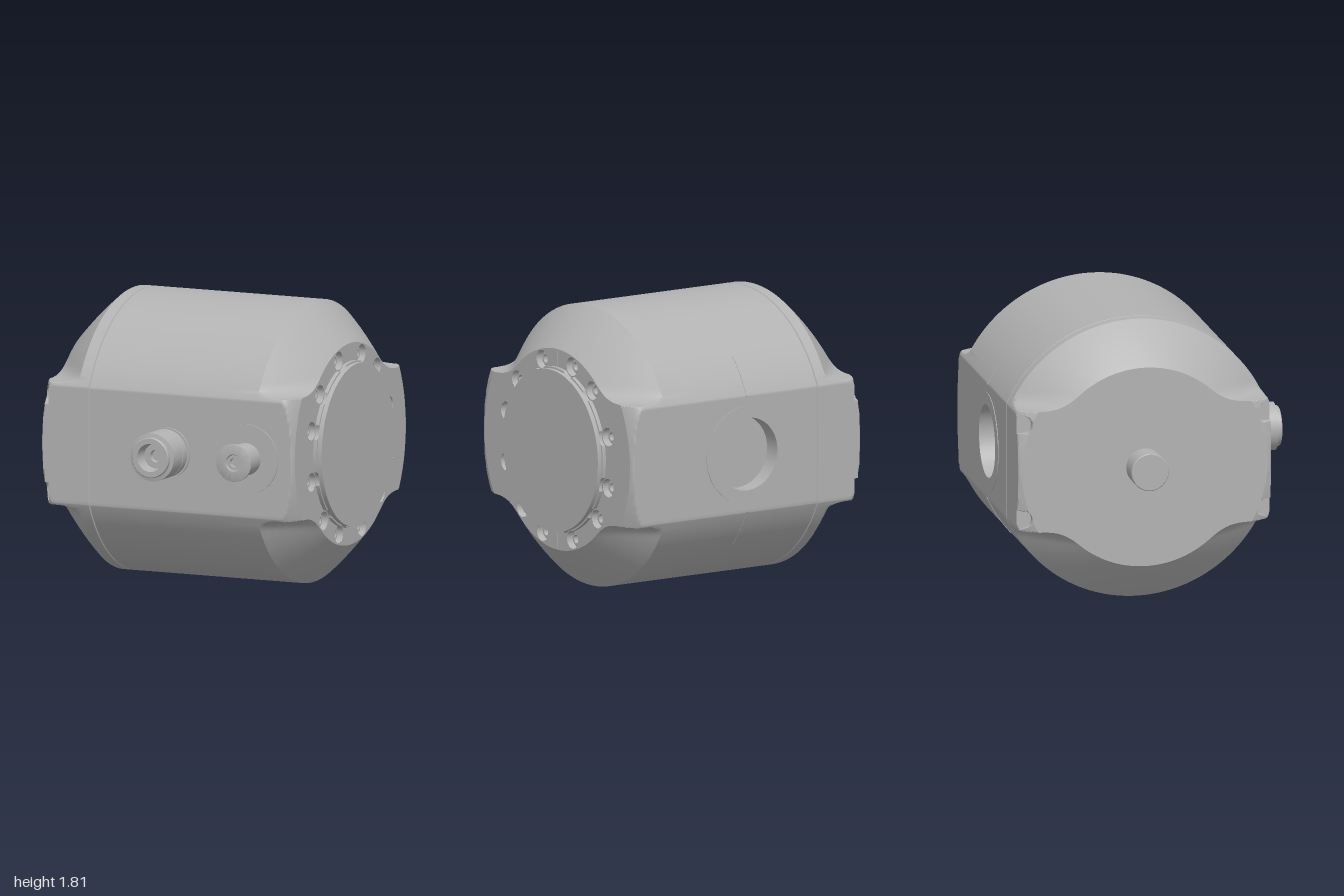
import * as THREE from 'three';
import { toCreasedNormals } from 'three/addons/utils/BufferGeometryUtils.js';

const CY = 0.907, CZ = -0.125;          // main axis, parallel to x
const R = 0.907, FLAT = 0.825, BAND = 0.395;
const X0 = -0.845, X1 = 0.945, N = 720;
const PORT_X = 0.05, PATCH = 45;        // back opening: x centre, half width in angle steps
const PATCH_X = [PORT_X - 0.34, PORT_X + 0.34];
const BOLT_R = 0.583, POCKET_R = 0.06;
const rad = Math.PI / 180;

const boltAngles = [];
for (let k = 0; k < 4; k++) for (const a of [16.2, 41, 73.3]) boltAngles.push((90 * k + a) * rad);

// first distance along a ray at angle t that meets a circle centred at (cr, ca)
function rayHit(t, cr, ca, r) {
  const b = cr * Math.cos(t - ca), h = cr * Math.sin(t - ca);
  return b > 0 && Math.abs(h) < r ? b - Math.sqrt(r * r - h * h) : Infinity;
}

// body radius at angle t (from +z towards +y) and position x
function bodyRadius(t, x, notch, shrink) {
  const left = x < 0, d = left ? x - X0 : X1 - x;
  const s = Math.min(1, d / (left ? 0.265 : 0.255));
  const cone = 0.65 + 0.257 * (s + 0.15 * s * (1 - s));
  const band = BAND / Math.max(1e-4, Math.abs(Math.sin(t)));
  const k = 0.14, h = Math.max(k - Math.abs(cone - band), 0) / k;
  const blended = Math.max(cone, band) + h * h * k / 4;
  const rim = R - 0.107 * Math.max(0, 1 - d / 0.085) ** 2;
  let r = Math.min(blended, rim, FLAT / Math.max(1e-4, Math.abs(Math.cos(t))));
  if (s >= 1) r = Math.min(R, FLAT / Math.max(1e-4, Math.abs(Math.cos(t))));
  if (notch) for (const a of [21.4, 158.6, 201.4, 338.6]) r = Math.min(r, rayHit(t, 0.849, a * rad, 0.058));
  return r - shrink;
}

function bodyGeometry() {
  const ends = [0, 0.008, 0.018, 0.03, 0.042, 0.055, 0.07, 0.085, 0.11, 0.14, 0.18, 0.22];
  const stations = [];
  for (const d of ends) {
    stations.push([X0 + d, d <= 0.055, 0]);
    if (d === 0.055) stations.push([X0 + d, false, 0]);
  }
  stations.push([-0.58, false, 0], [-0.505, false, 0], [-0.5, false, 0.01], [-0.495, false, 0]);
  for (const x of PATCH_X) stations.push([x, false, 0]);
  stations.push([0.69, false, 0]);
  for (const d of [...ends].reverse()) stations.push([X1 - d, false, 0]);
  const pos = [], idx = [];
  for (const [x, notch, shrink] of stations) for (let i = 0; i < N; i++) {
    const t = i / N * 2 * Math.PI, r = bodyRadius(t, x, notch, shrink);
    pos.push(x, CY + r * Math.sin(t), CZ + r * Math.cos(t));
  }
  for (let j = 0; j < stations.length - 1; j++) for (let i = 0; i < N; i++) {
    if (stations[j][0] === PATCH_X[0] && i >= N / 2 - PATCH && i < N / 2 + PATCH) continue;
    const n = (i + 1) % N, a = j * N + i, b = a + N, c = (j + 1) * N + n, d = j * N + n;
    idx.push(a, b, c, a, c, d);
  }
  const g = new THREE.BufferGeometry();
  g.setAttribute('position', new THREE.Float32BufferAttribute(pos, 3));
  g.setIndex(idx);
  return toCreasedNormals(g, 0.45);
}

// closed outline from a polar radius function; side mirrors it for the +x end
function polarShape(radius, side) {
  const pts = [];
  for (let i = 0; i < N; i++) {
    const t = i / N * 2 * Math.PI, r = radius(t);
    pts.push(new THREE.Vector2(-side * r * Math.cos(t), r * Math.sin(t)));
  }
  return new THREE.Shape(pts);
}

const circle = (x, y, r) => new THREE.Path().absarc(x, y, r, 0, 2 * Math.PI, true);

function lathe(points, segments = 48) {
  return toCreasedNormals(new THREE.LatheGeometry(points.map(p => new THREE.Vector2(...p)), segments), 0.5);
}

export function createModel() {
  const model = new THREE.Group();
  const metal = new THREE.MeshStandardMaterial({ color: 0xb2b2b2 });
  metal.name = 'grey metal';
  const inner = new THREE.MeshStandardMaterial({ color: 0xb2b2b2, side: THREE.DoubleSide });
  inner.name = 'grey metal inside';
  const add = (name, geometry, x, y, z, material = metal) => {
    const m = new THREE.Mesh(geometry, material);
    m.name = name;
    m.position.set(x, y, z);
    model.add(m);
    return m;
  };

  // housing shell and its two end faces
  add('housing', bodyGeometry(), 0, 0, 0);
  const rightEnd = polarShape(t => bodyRadius(t, X1, false, 0), 1);
  for (const a of boltAngles) rightEnd.holes.push(circle(-BOLT_R * Math.cos(a), BOLT_R * Math.sin(a), POCKET_R));
  add('rightEndFace', new THREE.ShapeGeometry(rightEnd, 20).rotateY(Math.PI / 2), X1, CY, CZ);
  const leftEnd = polarShape(t => bodyRadius(t, X0, true, 0), -1);
  add('leftEndFace', new THREE.ShapeGeometry(leftEnd).rotateY(-Math.PI / 2), X0, CY, CZ);

  // sunk socket screws around the right end
  const screw = lathe([[0.048, -0.1], [0.048, -0.008], [0.04, 0], [0.026, 0], [0.026, -0.03], [0, -0.03]], 24).rotateZ(-Math.PI / 2);
  const wall = new THREE.CylinderGeometry(POCKET_R, POCKET_R, 0.12, 24, 1, true).rotateZ(Math.PI / 2);
  const floor = new THREE.CircleGeometry(POCKET_R, 24).rotateY(Math.PI / 2);
  for (const a of boltAngles) {
    const y = CY + BOLT_R * Math.sin(a), z = CZ + BOLT_R * Math.cos(a);
    add('screwPocket', wall, X1 - 0.06, y, z, inner);
    add('screwPocketFloor', floor, X1 - 0.12, y, z);
    add('socketScrew', screw, X1 - 0.03, y, z);
  }

  // round cover: scalloped base under a full disc
  const scallop = polarShape(t => Math.min(0.535, ...boltAngles.map(a => rayHit(t, BOLT_R, a, POCKET_R + 0.008))), 1);
  add('coverBase', new THREE.ExtrudeGeometry(scallop, { depth: 0.025, bevelEnabled: false }).rotateY(Math.PI / 2), X1, CY, CZ);
  add('coverDisc', new THREE.CylinderGeometry(0.524, 0.524, 0.03, 96).rotateZ(Math.PI / 2), 0.985, CY, CZ);
  for (const s of [1, -1]) add('endMark', new THREE.BoxGeometry(0.006, 0.1, 0.012), X1, CY + s * 0.59, CZ);

  // shaft on the left end
  add('shaft', lathe([[0.122, 0], [0.122, 0.15], [0.117, 0.155], [0, 0.155]]).rotateZ(Math.PI / 2), X0, CY, CZ);

  // back opening with rim ring
  const backZ = CZ - FLAT, hy = FLAT * Math.tan(PATCH / N * 2 * Math.PI), holeR = 0.235;
  const patch = new THREE.Shape([[-0.34, -hy], [0.34, -hy], [0.34, hy], [-0.34, hy]].map(p => new THREE.Vector2(...p)));
  patch.holes.push(circle(0, 0, holeR));
  add('backFace', new THREE.ShapeGeometry(patch, 32).rotateY(Math.PI), PORT_X, CY, backZ);
  add('backOpeningWall', new THREE.CylinderGeometry(holeR, holeR, 0.11, 64, 1, true).rotateX(Math.PI / 2), PORT_X, CY, backZ + 0.055, inner);
  add('backOpeningFloor', new THREE.CircleGeometry(holeR, 64).rotateY(Math.PI), PORT_X, CY, backZ + 0.11);
  const ring = new THREE.Shape().absarc(0, 0, 0.315, 0, 2 * Math.PI);
  ring.holes.push(circle(0, 0, holeR));
  add('backRing', new THREE.ExtrudeGeometry(ring, { depth: 0.004, bevelEnabled: false, curveSegments: 40 }), PORT_X, CY, backZ - 0.004);

  // thin index lines following the curve above and below the opening
  for (const s of [1, -1]) for (let i = 0; i < 5; i++) {
    const a = (180 - s * (26 + i * 3.6)) * rad;
    const m = add('indexLine', new THREE.BoxGeometry(0.012, 0.058, 0.006), PORT_X, CY + R * Math.sin(a), CZ + R * Math.cos(a));
    m.rotation.x = -a;
  }

  // front connectors
  const frontZ = CZ + FLAT;
  const connector = lathe([
    [0.165, 0], [0.165, 0.012], [0.14, 0.012], [0.14, 0.022], [0.155, 0.022], [0.155, 0.078], [0.15, 0.08],
    [0.15, 0.085], [0.155, 0.087], [0.155, 0.215], [0.13, 0.22], [0.13, 0.24], [0.125, 0.245],
    [0.09, 0.245], [0.08, 0.16], [0.04, 0.16], [0.04, 0.12], [0, 0.12]]).rotateX(Math.PI / 2);
  add('largeConnector', connector, PORT_X, CY, frontZ);
  const plug = lathe([
    [0.225, 0], [0.225, 0.008], [0.103, 0.008], [0.103, 0.14], [0.08, 0.165], [0.08, 0.172], [0.122, 0.174],
    [0.122, 0.188], [0.118, 0.19], [0.055, 0.19], [0.05, 0.18], [0.03, 0.18], [0.03, 0.15], [0, 0.15]]).rotateX(Math.PI / 2);
  add('smallPlug', plug, 0.615, CY, frontZ);
  return model;
}
